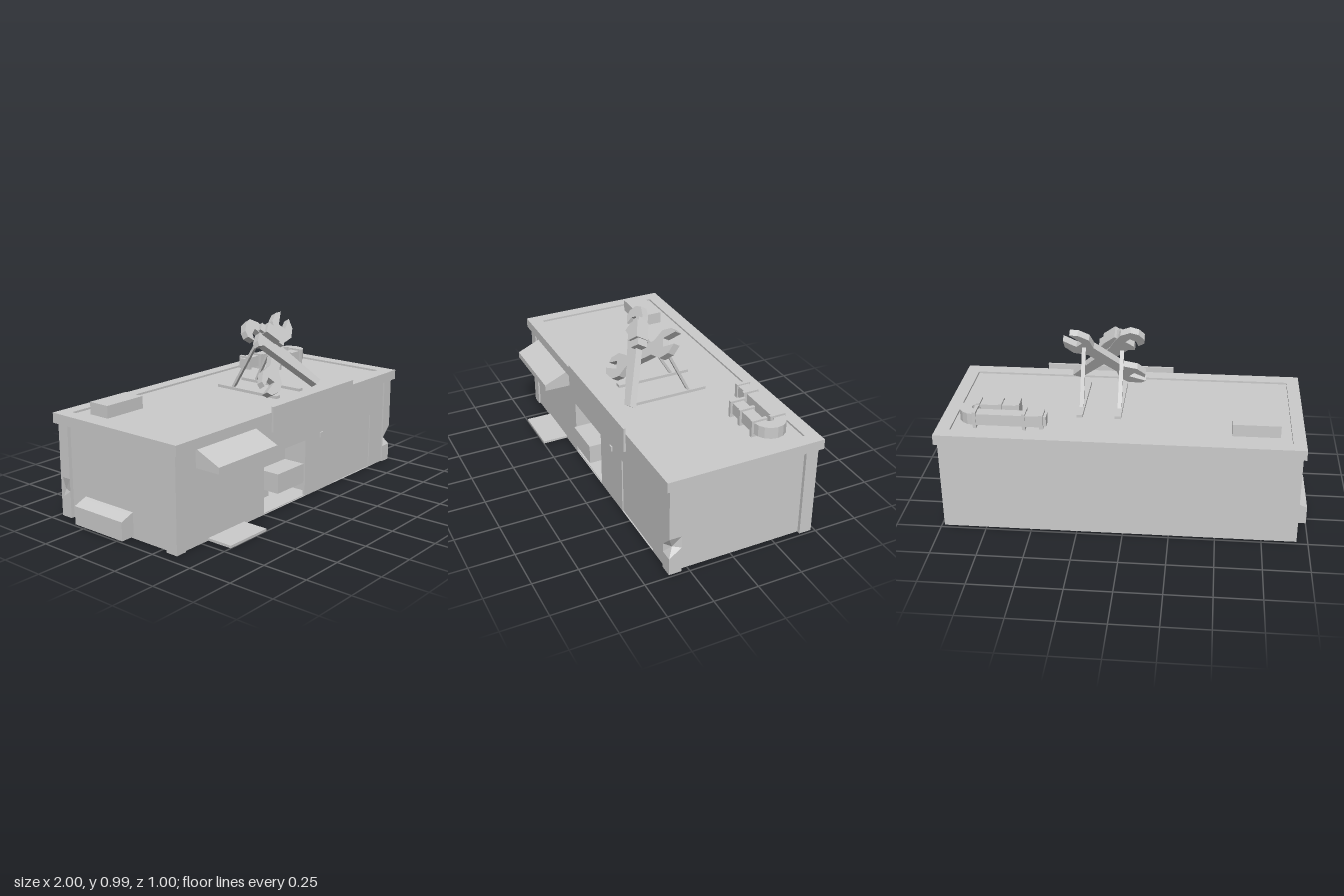
import * as THREE from 'three';

const mat = new THREE.MeshStandardMaterial({ color: 0xcccccc, flatShading: true, side: THREE.DoubleSide });

function add(parent, name, geo) {
  const m = new THREE.Mesh(geo, mat);
  m.name = name;
  parent.add(m);
  return m;
}

// Box given by its limits on each axis
function box(parent, name, x0, x1, y0, y1, z0, z1) {
  const g = new THREE.BoxGeometry(x1 - x0, y1 - y0, z1 - z0);
  g.translate((x0 + x1) / 2, (y0 + y1) / 2, (z0 + z1) / 2);
  return add(parent, name, g);
}

const shapeOf = pts => new THREE.Shape(pts.map(p => new THREE.Vector2(p[0], p[1])));
const rect = (x0, x1, y0, y1) => [[x0, y0], [x1, y0], [x1, y1], [x0, y1]];

function extrude(pts, depth, holes = []) {
  const s = shapeOf(pts);
  holes.forEach(h => s.holes.push(shapeOf(h)));
  return new THREE.ExtrudeGeometry(s, { depth, bevelEnabled: false, curveSegments: 8 });
}

// Flat plate lying in the ground plane, outline given as [x, -z]
function plate(parent, name, pts, y, h, holes) {
  return add(parent, name, extrude(pts, h, holes).rotateX(-Math.PI / 2).translate(0, y, 0));
}

// Corner pillar with an optional chip knocked out of its outer edge
function pillar(parent, sx, sz, x0, x1, z0, z1, chip) {
  const levels = [0, 0.1, 0.15, 0.22, 0.52];
  const g = new THREE.BoxGeometry(x1 - x0, 4, z1 - z0, 1, 4, 1);
  const p = g.attributes.position;
  for (let i = 0; i < p.count; i++) {
    const k = Math.round(p.getY(i) + 2);
    p.setY(i, levels[k]);
    if (k === 2 && p.getX(i) * sx > 0 && p.getZ(i) * sz > 0) {
      p.setX(i, p.getX(i) - sx * chip);
      p.setZ(i, p.getZ(i) - sz * chip);
    }
  }
  g.translate((x0 + x1) / 2, 0, (z0 + z1) / 2);
  g.computeVertexNormals();
  add(parent, 'cornerPillar', g);
}

function buildWalls(g) {
  pillar(g, 1, 1, 0.915, 0.985, 0.29, 0.36, 0.03);
  pillar(g, 1, -1, 0.915, 0.985, -0.48, -0.41, 0);
  pillar(g, -1, 1, -0.94, -0.875, 0.29, 0.36, 0);
  pillar(g, -1, -1, -0.94, -0.875, -0.48, -0.41, 0.018);
  const doorway = rect(-0.25, 0.12, 0.001, 0.33), door = rect(0.4, 0.78, 0.001, 0.33);
  add(g, 'frontWall', extrude(rect(-0.88, 0.92, 0, 0.52), 0.015, [doorway, door]).translate(0, 0, 0.335));
  box(g, 'door', 0.4, 0.78, 0, 0.33, 0.33, 0.343);
  box(g, 'doorSwitch', 0.255, 0.28, 0.315, 0.345, 0.34, 0.358);
  box(g, 'leftSideWall', 0.95, 0.965, 0, 0.52, -0.42, 0.3);
  box(g, 'rightSideWall', -0.92, -0.905, 0, 0.52, -0.42, 0.3);
  box(g, 'backWall', -0.94, 0.985, 0, 0.52, -0.48, -0.465);
}

function buildRoof(g) {
  plate(g, 'roofRim', rect(-0.955, 1, -0.38, 0.503), 0.517, 0.056, [rect(-0.885, 0.925, -0.3, 0.43)]);
  box(g, 'roofDeck', -0.89, 0.93, 0.517, 0.562, -0.435, 0.305);
  box(g, 'roofUnit', -0.825, -0.57, 0.562, 0.63, -0.355, -0.225);
}

function buildRoom(g) {
  plate(g, 'roomFloor', rect(-0.34, 0.18, -0.345, 0.23), 0, 0.006, [rect(-0.11, -0.02, -0.2, -0.08)]);
  box(g, 'roomSide', -0.345, -0.335, 0, 0.45, -0.23, 0.337);
  box(g, 'roomSide', 0.175, 0.185, 0, 0.45, -0.23, 0.337);
  box(g, 'roomBack', -0.34, 0.18, 0, 0.45, -0.235, -0.225);
  box(g, 'roomCeiling', -0.34, 0.18, 0.44, 0.45, -0.23, 0.337);
  // Machine on an open-bottomed pedestal
  const stem = new THREE.CylinderGeometry(Math.SQRT1_2, Math.SQRT1_2, 0.11, 4, 1, true).rotateY(Math.PI / 4);
  add(g, 'machinePedestal', stem.scale(0.09, 1, 0.12).translate(-0.065, 0.055, 0.14));
  box(g, 'machineBed', -0.18, 0.05, 0.11, 0.22, 0.02, 0.39);
  box(g, 'machineTower', -0.18, 0.05, 0.22, 0.325, 0.02, 0.26);
}

function buildFrontage(g) {
  box(g, 'signBoard', -0.225, 0.52, 0.465, 0.605, 0.378, 0.391);
  const awning = extrude([[0.34, 0.41], [0.5, 0.41], [0.5, 0.445], [0.36, 0.507], [0.34, 0.515]], 0.455);
  add(g, 'awning', awning.rotateY(-Math.PI / 2).translate(-0.33, 0, 0));
  box(g, 'doorstep', -0.7, -0.415, 0, 0.014, 0.34, 0.5);
  const hood = extrude([[-1, 0.01], [-0.91, 0.01], [-0.91, 0.145], [-0.94, 0.135], [-1, 0.112]], 0.35);
  add(g, 'sideHood', hood.translate(0, 0, -0.31));
}

function buildPipe(g) {
  // U-shaped duct: outer arc one way, inner arc back
  const cx = 0.805, cy = 0.29, arc = [], inner = [];
  for (let i = 0; i <= 8; i++) {
    const a = -Math.PI / 2 + Math.PI * i / 8;
    arc.push([cx + 0.09 * Math.cos(a), cy + 0.09 * Math.sin(a)]);
    inner.unshift([cx + 0.025 * Math.cos(a), cy + 0.025 * Math.sin(a)]);
  }
  plate(g, 'duct', [[0.575, 0.2], ...arc, [0.45, 0.38], [0.45, 0.315], ...inner, [0.575, 0.265]], 0.58, 0.064);
  box(g, 'ductCap', 0.43, 0.452, 0.573, 0.652, -0.388, -0.308);
  box(g, 'ductTip', 0.415, 0.43, 0.585, 0.64, -0.375, -0.32);
  for (const [x, z] of [[0.535, -0.34], [0.8, -0.34], [0.68, -0.232], [0.8, -0.232], [0.585, -0.232]])
    box(g, 'ductClamp', x - 0.009, x + 0.009, 0.562, 0.655, z - 0.045, z + 0.045);
}

function buildWrenches(g) {
  const tilt = 0.551, c = Math.cos(tilt);
  const sign = new THREE.Group();
  sign.name = 'crossedWrenches';
  sign.rotation.x = -tilt;
  sign.position.set(0, 0.575, 0.211);
  g.add(sign);
  const lay = (pts, off) => pts.map(([x, y]) => [x, (y - off) / c]);
  // Rear: double open-ended wrench
  const open = [[-0.075, 0.625], [-0.045, 0.605], [0.03, 0.61], [0.075, 0.645], [0.09, 0.7], [0.24, 0.83],
    [0.32, 0.845], [0.365, 0.89], [0.37, 0.94], [0.3, 0.895], [0.265, 0.925], [0.33, 0.985], [0.285, 0.985],
    [0.225, 0.95], [0.205, 0.89], [0.05, 0.745], [-0.03, 0.725], [-0.075, 0.68], [-0.07, 0.655],
    [-0.01, 0.69], [0.02, 0.66]];
  add(sign, 'openWrench', extrude(lay(open, 0.596), 0.04));
  // Front: adjustable wrench with hooked jaw
  const adj = [[0.355, 0.62], [0.305, 0.605], [0.02, 0.855], [-0.02, 0.86], [-0.015, 0.885], [0.03, 0.92],
    [0.005, 0.945], [-0.03, 0.925], [-0.04, 0.89], [-0.075, 0.915], [-0.075, 0.945], [-0.045, 0.98], [0, 0.995],
    [0.055, 0.97], [0.09, 0.925], [0.12, 0.87]];
  add(sign, 'adjustableWrench', extrude(lay(adj, 0.617), 0.04).translate(0, 0, 0.04));
  // Worm screw and slide blocks on the front wrench
  for (const [x, y, w, h, d] of [[0.1, 0.9, 0.1, 0.07, 0.075], [0.145, 0.86, 0.05, 0.06, 0.06], [0.06, 0.93, 0.05, 0.05, 0.055]]) {
    const b = add(sign, 'wormBlock', new THREE.BoxGeometry(w, h, d));
    b.position.set(x, (y - 0.617) / c, 0.045 + d / 2);
    b.rotation.z = -0.8;
  }
  // Stand: floor rails and slanted props
  for (const [x, y, z] of [[0.048, 0.85, 0.055], [0.258, 0.87, 0.035]]) {
    box(g, 'standRail', x - 0.017, x + 0.017, 0.56, 0.578, -0.215, 0.21);
    const dy = y - 0.57, dz = z + 0.115;
    const prop = add(g, 'standProp', new THREE.BoxGeometry(0.022, Math.hypot(dy, dz), 0.014));
    prop.position.set(x, 0.57 + dy / 2, -0.115 + dz / 2);
    prop.rotation.x = Math.atan2(dz, dy);
  }
}

export function createModel() {
  const model = new THREE.Group();
  model.name = 'workshop';
  const parts = { walls: buildWalls, roof: buildRoof, room: buildRoom, frontage: buildFrontage,
    roofDuct: buildPipe, roofSign: buildWrenches };
  for (const [name, build] of Object.entries(parts)) {
    const g = new THREE.Group();
    g.name = name;
    build(g);
    model.add(g);
  }
  return model;
}
